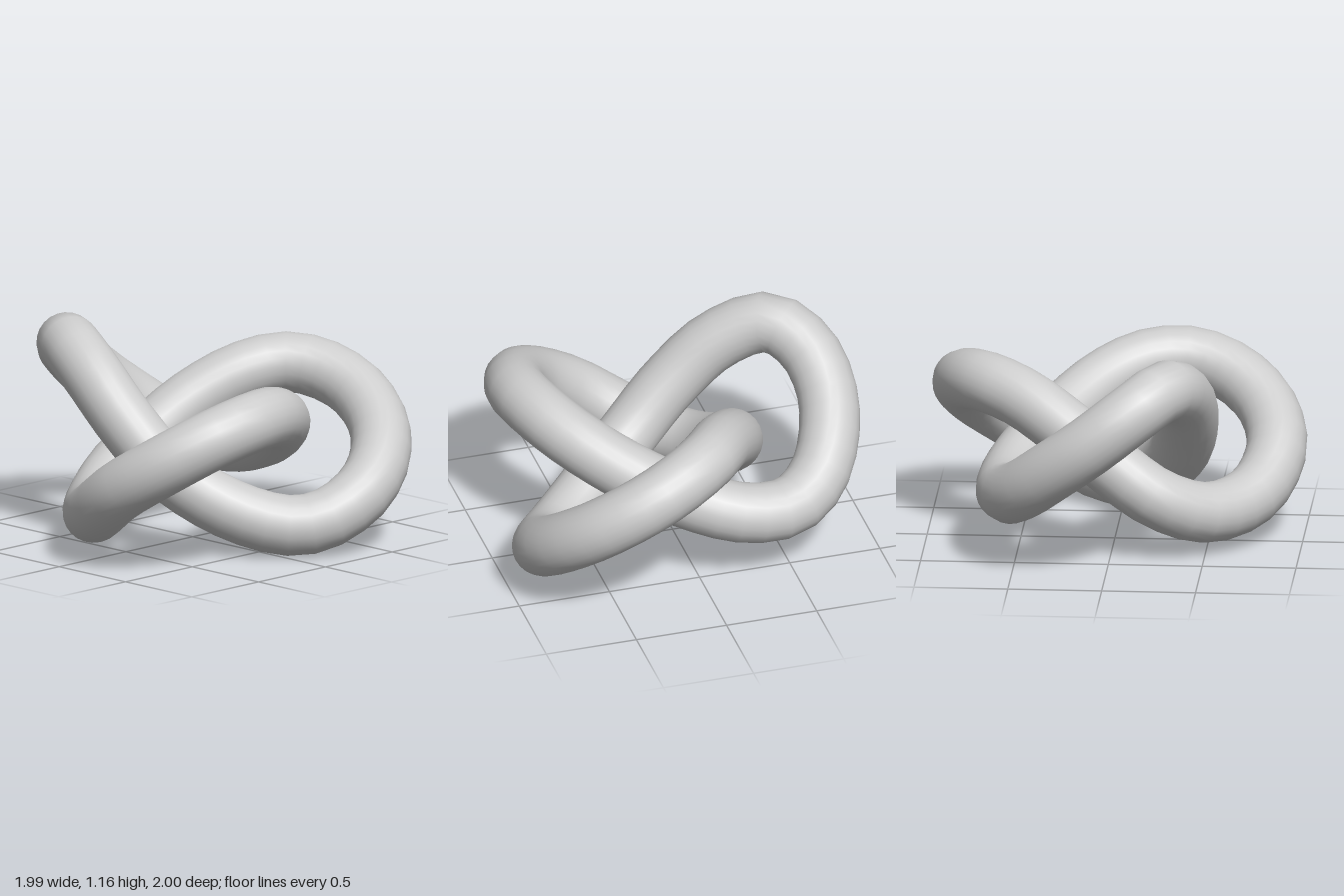
import * as THREE from 'three';

// Centre line of the knot, in order along the closed loop
const path = [
  // lobe at the back left
  [0.66, 0.16, -0.06], [0.77, 0.185, -0.21], [0.83, 0.295, -0.42], [0.78, 0.425, -0.61],
  [0.63, 0.575, -0.77], [0.40, 0.72, -0.84], [0.185, 0.81, -0.80], [0.01, 0.845, -0.685],
  // strand running down to the front
  [-0.125, 0.80, -0.485], [-0.26, 0.66, -0.23], [-0.34, 0.48, 0.02], [-0.36, 0.33, 0.24],
  // lobe at the front
  [-0.26, 0.225, 0.47], [-0.11, 0.22, 0.64], [0.06, 0.285, 0.77], [0.30, 0.44, 0.84],
  [0.535, 0.595, 0.765], [0.695, 0.725, 0.575], [0.75, 0.79, 0.35], [0.70, 0.787, 0.13],
  // strand running down to the back
  [0.57, 0.72, -0.08], [0.34, 0.60, -0.285], [0.06, 0.48, -0.455], [-0.24, 0.39, -0.55],
  // lobe on the right
  [-0.49, 0.378, -0.54], [-0.66, 0.45, -0.45], [-0.775, 0.575, -0.305], [-0.84, 0.75, -0.08],
  [-0.79, 0.915, 0.14], [-0.63, 1.00, 0.305],
  // strand running down to the left
  [-0.37, 0.89, 0.39], [-0.11, 0.67, 0.395], [0.14, 0.435, 0.325], [0.43, 0.24, 0.14],
];

export function createModel() {
  const group = new THREE.Group();
  group.name = 'trefoilKnot';

  // One round tube swept along the closed loop
  const curve = new THREE.CatmullRomCurve3(path.map((p) => new THREE.Vector3(...p)), true);
  const tube = new THREE.Mesh(
    new THREE.TubeGeometry(curve, 84, 0.162, 24, true),
    new THREE.MeshStandardMaterial({ color: 0xcccccc })
  );
  tube.name = 'knotTube';
  group.add(tube);

  // Stand on the ground, centred
  const box = new THREE.Box3().setFromObject(group);
  const centre = box.getCenter(new THREE.Vector3());
  tube.position.set(-centre.x, -box.min.y, -centre.z);
  return group;
}
